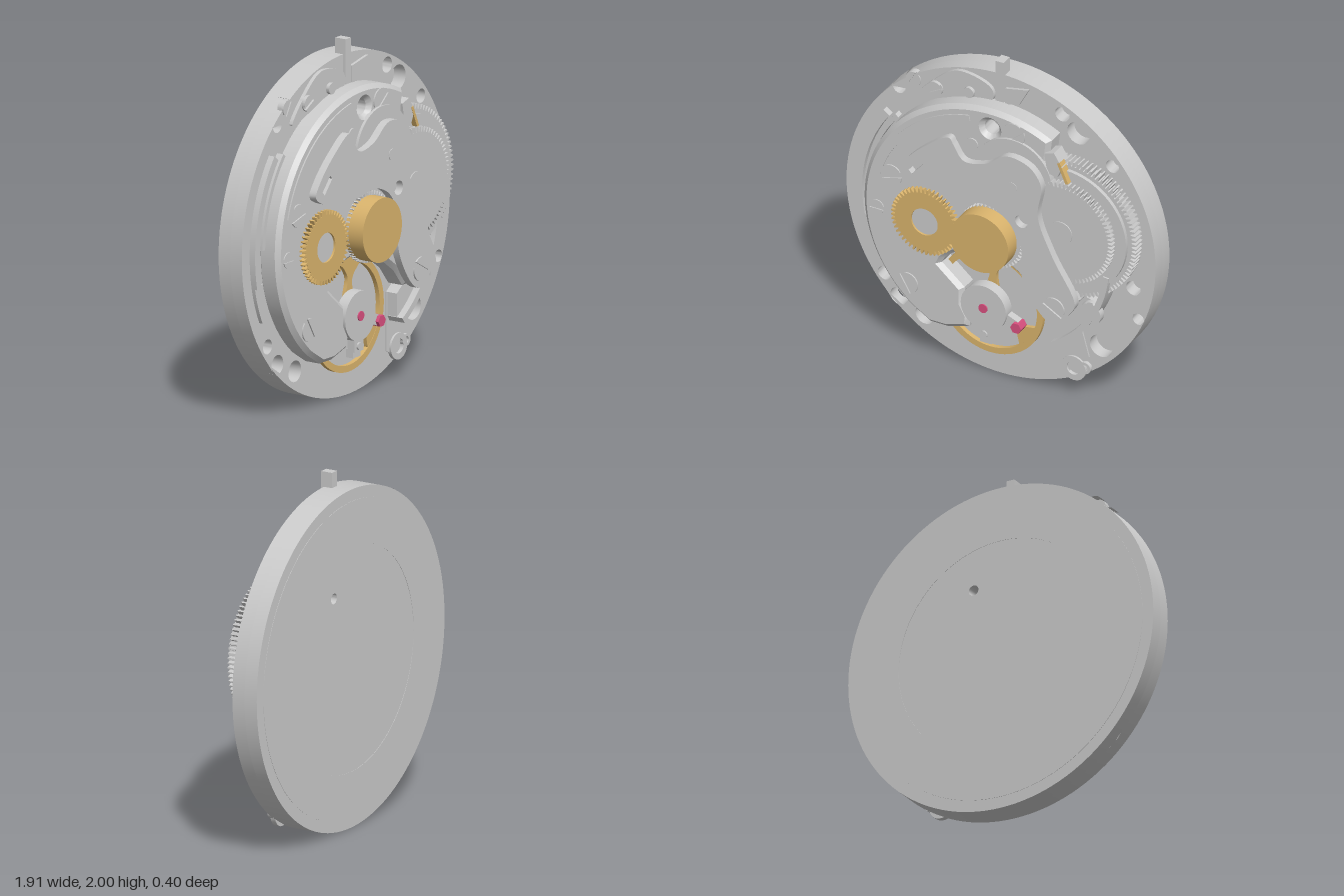
import * as THREE from 'three';
import { toCreasedNormals } from 'three/addons/utils/BufferGeometryUtils.js';

const CY = 0.957; // height of the movement's axis
const mat = (color) => new THREE.MeshStandardMaterial({ color });
const grey = mat(0xcccccc), gold = mat(0xd9b36c), ruby = mat(0xd9507f);

// Points along an arc, angles in degrees
function arc(cx, cy, r, a0, a1, n = 32) {
  return Array.from({ length: n + 1 }, (_, i) => {
    const a = THREE.MathUtils.degToRad(a0 + (a1 - a0) * i / n);
    return [cx + r * Math.cos(a), cy + r * Math.sin(a)];
  });
}
const vecs = (pts) => pts.map(([x, y]) => new THREE.Vector2(x, y));
const poly = (pts) => new THREE.Shape(vecs(pts));
const circle = (x, y, r, n = 40) => poly(arc(x, y, r, 0, 360, n).slice(0, -1));
const band = (r0, r1, a0, a1, cx = 0, cy = CY) =>
  poly([...arc(cx, cy, r1, a0, a1), ...arc(cx, cy, r0, a1, a0)]);

// Closed smooth outline through a few points
function smooth(pts, n = 90) {
  const curve = new THREE.CatmullRomCurve3(pts.map(([x, y]) => new THREE.Vector3(x, y, 0)), true, 'centripetal');
  return poly(curve.getPoints(n).slice(0, -1).map((p) => [p.x, p.y]));
}
function withHoles(shape, ...holes) {
  shape.holes.push(...holes);
  return shape;
}
function gearShape(x, y, r, teeth, depth, hole = 0) {
  const pts = [];
  for (let i = 0; i < teeth; i++) {
    [[0, r - depth], [0.2, r], [0.5, r], [0.7, r - depth]].forEach(([f, rr]) => {
      const a = (i + f) / teeth * Math.PI * 2;
      pts.push([x + rr * Math.cos(a), y + rr * Math.sin(a)]);
    });
  }
  const s = poly(pts);
  return hole ? withHoles(s, circle(x, y, hole)) : s;
}

export function createModel() {
  const model = new THREE.Group();

  // Flat part cut from a shape, filling z0 to z1
  function cut(name, shape, z0, z1, material = grey, bevel = 0) {
    let g = new THREE.ExtrudeGeometry(shape, {
      depth: z1 - z0 - 2 * bevel, bevelEnabled: bevel > 0, bevelSize: bevel,
      bevelThickness: bevel, bevelOffset: -bevel, bevelSegments: 1,
    });
    g = toCreasedNormals(g, 0.5);
    g.translate(0, 0, z0 + bevel);
    const m = new THREE.Mesh(g, material);
    m.name = name;
    model.add(m);
    return m;
  }
  const disc = (name, x, y, r, z0, z1, m = grey, n = 40) => cut(name, circle(x, y, r, n), z0, z1, m);
  function box(name, x, y, w, h, z0, z1, turn = 0, material = grey) {
    const m = new THREE.Mesh(new THREE.BoxGeometry(w, h, z1 - z0), material);
    m.position.set(x, y, (z0 + z1) / 2);
    m.rotation.z = turn;
    m.name = name;
    model.add(m);
  }
  // Slotted screw: a low base carrying two half heads
  function screw(x, y, r, top, turn) {
    disc('screwBase', x, y, r, top - 0.04, top - 0.012);
    [0, 180].forEach((side) =>
      cut('screwHead', poly(arc(x, y, r, turn + side + 14, turn + side + 166, 18)), top - 0.013, top));
  }

  // Main plate: solid back, pierced front layer and raised dial ring
  const pits = [
    [0.48, 1.68, 0.07], [0.38, 1.77, 0.045], [0.69, 1.53, 0.04], [0.82, 0.79, 0.045],
    [0.85, 0.6, 0.035], [0.62, 0.36, 0.07], [-0.47, 0.23, 0.06], [-0.72, 0.42, 0.042],
    [-0.63, 0.3, 0.055], [-0.54, 1.72, 0.05], [-0.63, 1.64, 0.04],
  ].map(([x, y, r]) => circle(x, y, r, 28));
  cut('backPlate', withHoles(circle(0, CY, 0.957, 128), circle(0.17, 1.34, 0.03, 20)), -0.198, -0.12);
  cut('frontPlate', withHoles(circle(0, CY, 0.957, 128), ...pits), -0.12, -0.042);
  cut('dialRing', withHoles(circle(0, CY, 0.89, 96), circle(0, CY, 0.64, 96)), -0.2, -0.197);

  // Winding stem and setting levers
  box('windingStem', 0, 1.85, 0.05, 0.3, -0.095, -0.025);
  cut('settingLever', smooth([[-0.52, 1.62], [-0.4, 1.77], [-0.25, 1.87], [-0.05, 1.82], [-0.04, 1.75], [-0.28, 1.69]]), -0.05, -0.02);
  cut('yoke', poly([[0.035, 1.74], [0.035, 1.84], [0.18, 1.87], [0.12, 1.76]]), -0.05, -0.025);
  cut('settingSpring', band(0.84, 0.885, 143, 192), -0.05, -0.005);
  cut('settingSpringArm', band(0.8, 0.825, 140, 178), -0.05, 0);
  cut('springFoot', band(0.81, 0.885, 192, 206), -0.05, -0.02);
  disc('leverPost', -0.18, 1.76, 0.032, -0.05, 0, grey, 20);

  // Main bridge with chamfered rim, open around the balance
  const BX = -0.04, BY = 0.47;
  const bridge = poly([
    ...arc(0, CY, 0.79, 62, 231, 70), [-0.38, 0.27], [-0.27, 0.27], [-0.14, 0.31], [-0.13, 0.38],
    [-0.17, 0.45], [-0.17, 0.55], [-0.31, 0.67], ...arc(BX, BY, 0.345, 138, 50, 16),
    [0.3, 0.65], [0.38, 0.55], [0.45, 0.55], [0.54, 0.68], [0.43, 0.9], [0.32, 1.15], [0.34, 1.42],
  ]);
  withHoles(bridge, circle(0, 1.63, 0.045, 28));
  cut('mainBridge', bridge, -0.06, 0.082, grey, 0.025);
  cut('bridgeRidge', band(0.7, 0.735, 100, 165), 0.07, 0.09);

  // Barrel and ratchet wheel
  const RX = 0.45, RY = 1.11;
  cut('barrel', gearShape(RX, RY, 0.43, 100, 0.028), -0.035, 0.038);
  disc('barrelLid', RX, RY, 0.38, 0.038, 0.06, grey, 64);
  cut('ratchetWheel', gearShape(RX, RY, 0.315, 76, 0.028), 0.055, 0.1);
  disc('ratchetHub', RX, RY, 0.07, 0.1, 0.106);
  cut('click', poly([[0.36, 1.46], [0.42, 1.45], [0.45, 1.52], [0.4, 1.6], [0.34, 1.58]]), 0, 0.09);
  box('clickSpring', 0.455, 1.485, 0.018, 0.13, 0.04, 0.092, 0.42, gold);

  // Upper bridge carrying the automatic train
  const upper = smooth([
    [-0.53, 1.24], [-0.49, 1.32], [-0.36, 1.45], [-0.22, 1.54], [-0.19, 1.5], [-0.13, 1.42], [0, 1.44],
    [0.14, 1.53], [0.28, 1.5], [0.35, 1.4], [0.33, 1.2], [0.42, 0.97], [0.56, 0.71], [0.53, 0.64],
    [0.43, 0.54], [0.35, 0.58], [0.23, 0.79], [0.225, 0.98], [0.15, 1.12], [0.02, 1.18],
    [-0.16, 1.16], [-0.26, 1.18], [-0.42, 1.18],
  ], 140);
  const slot = poly([[-0.47, 1.26], [-0.45, 1.24], [-0.38, 1.32], [-0.4, 1.34]]);
  cut('upperBridge', withHoles(upper, circle(0.23, 1.14, 0.04, 28), slot), 0.1, 0.145);
  disc('trainBoss', 0.15, 1.37, 0.24, 0.06, 0.098, grey, 56);
  disc('pin', 0.17, 1.34, 0.032, 0.1, 0.148, grey, 24);
  disc('jewelSeat', -0.11, 1.5, 0.038, 0.075, 0.09, grey, 24);

  // Gold wheels in the middle
  cut('reverserWheel', gearShape(-0.39, 0.93, 0.207, 48, 0.025, 0.083), 0.075, 0.112, gold);
  disc('reverserHub', -0.39, 0.93, 0.083, 0.06, 0.1);
  cut('rotorWheel', gearShape(0.02, 0.96, 0.2, 50, 0.02), 0.075, 0.108);
  disc('rotorPost', 0, 0.96, 0.18, 0.08, 0.203, gold, 64);

  // Balance wheel: rim and three waisted spokes
  cut('balanceRim', withHoles(circle(BX, BY, 0.325, 72), circle(BX, BY, 0.288, 72)), -0.022, 0.005, gold);
  [85, 205, 325].forEach((a) => {
    const spoke = smooth([[-0.03, 0.08], [-0.022, 0.2], [-0.09, 0.295], [0, 0.305], [0.09, 0.295], [0.022, 0.2], [0.03, 0.08]], 40);
    const m = cut('balanceSpoke', spoke, -0.02, 0.003, gold);
    m.position.set(BX, BY, 0);
    m.rotation.z = THREE.MathUtils.degToRad(a - 90);
  });
  disc('balanceStaff', BX, BY, 0.06, -0.05, 0.03);

  // Balance cock, regulator and jewels
  disc('balanceCock', BX, BY, 0.14, 0.02, 0.085, grey, 48);
  disc('balanceJewel', BX, BY, 0.027, 0.08, 0.092, ruby, 24);
  box('regulatorArm', BX, 0.32, 0.085, 0.1, 0.03, 0.075);
  box('regulatorTip', BX, 0.26, 0.07, 0.05, 0.015, 0.06);
  disc('regulatorKnob', BX, 0.3, 0.022, 0.07, 0.085, grey, 16);
  box('studCarrier', 0.11, 0.42, 0.13, 0.06, 0.02, 0.065, -0.4);
  disc('studJewel', 0.16, 0.4, 0.034, 0.02, 0.085, ruby, 6);

  // Low bridge and curved wall at the lower right
  cut('lowBridge', poly([[0.37, 0.5], ...arc(0, CY, 0.7, 302, 336, 16), [0.56, 0.7], [0.45, 0.56]]), -0.05, 0.03);
  cut('curvedWall', band(0.695, 0.73, 302, 354), -0.05, 0.07);
  cut('lowerPad', poly([[0.36, 0.5], [0.36, 0.17], [0.42, 0.14], [0.55, 0.27], [0.5, 0.45]]), -0.05, -0.032);
  [[0.46, 0.18, 0.075], [0.53, 0.2, 0.035]].forEach(([x, y, r]) =>
    cut('pillarRing', withHoles(circle(x, y, r, 32), circle(x, y, r * 0.55, 24)), -0.05, -0.02));

  // Screws
  [
    [-0.61, 1.15, 0.065, 0.09, 15], [-0.51, 0.49, 0.065, 0.09, 120], [0.15, 1.64, 0.068, 0.09, 40],
    [0.43, 0.645, 0.068, 0.155, 150], [0.61, 0.62, 0.068, 0.07, 90], [-0.7, 0.92, 0.045, 0.088, 0],
    [-0.39, 1.72, 0.045, 0, 30], [-0.54, 1.72, 0.045, -0.035, 60],
  ].forEach((s) => screw(...s));

  return model;
}
